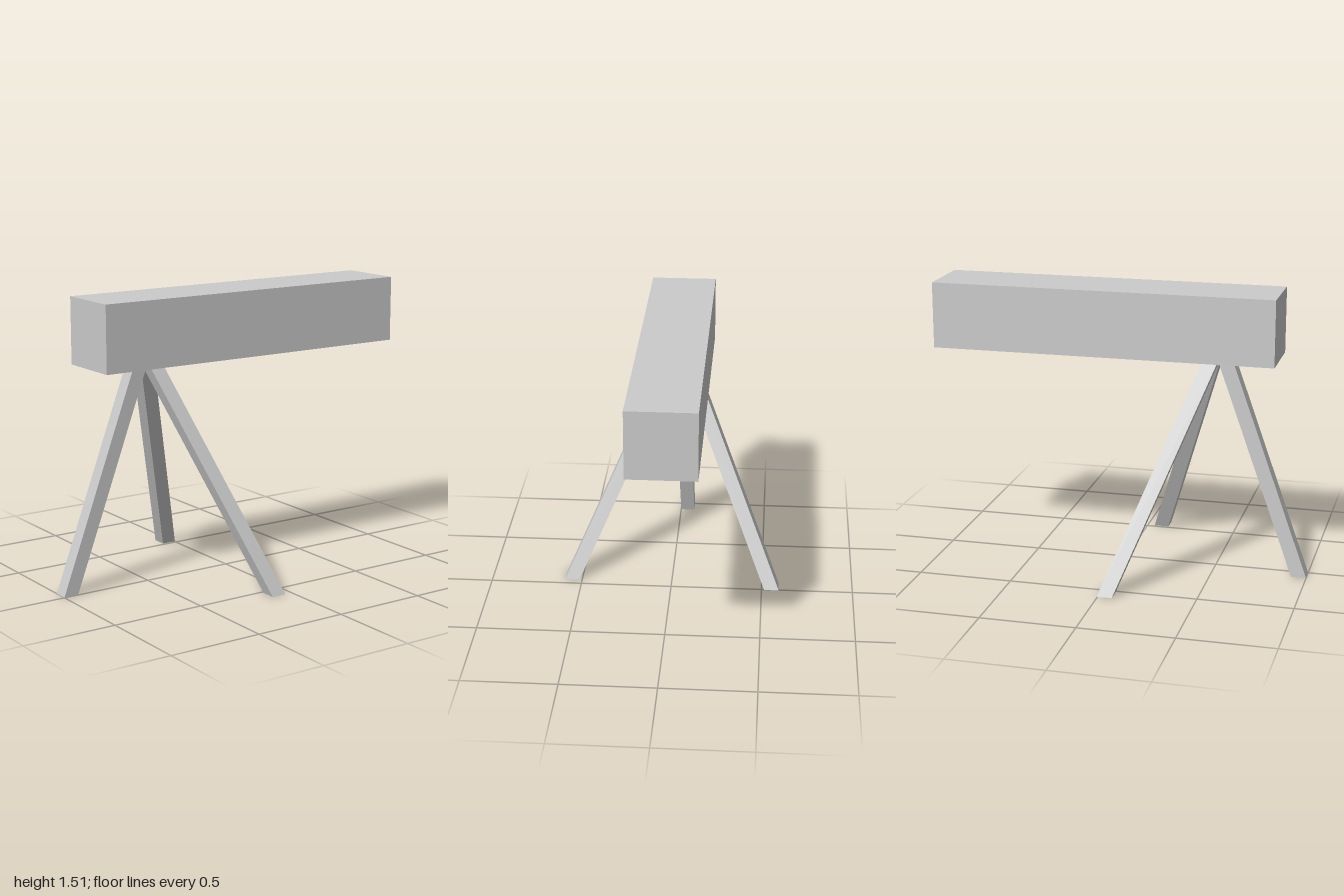
import * as THREE from 'three';

const material = new THREE.MeshStandardMaterial({ color: 0xcccccc, flatShading: true });
const BODY_BOTTOM = 1.16, BODY_TOP = 1.51, LEG_WIDTH = 0.08;

// Square post with level ends, slanted from its foot to its head (centres given as [x, z])
function slantedLeg(name, foot, head) {
  const geometry = new THREE.BoxGeometry(LEG_WIDTH, BODY_BOTTOM, LEG_WIDTH);
  geometry.translate(0, BODY_BOTTOM / 2, 0);
  const p = geometry.attributes.position;
  for (let i = 0; i < p.count; i++) {
    const [cx, cz] = p.getY(i) > BODY_BOTTOM / 2 ? head : foot;
    p.setX(i, p.getX(i) + cx);
    p.setZ(i, p.getZ(i) + cz);
  }
  geometry.computeVertexNormals();
  const leg = new THREE.Mesh(geometry, material);
  leg.name = name;
  return leg;
}

export function createModel() {
  const model = new THREE.Group();
  model.name = 'tripodWithBoxBody';

  // Long box body
  const body = new THREE.Mesh(
    new THREE.BoxGeometry(1.82, BODY_TOP - BODY_BOTTOM, 0.35), material);
  body.name = 'body';
  body.position.set(0.09, (BODY_TOP + BODY_BOTTOM) / 2, -0.02);
  model.add(body);

  // Three spread legs
  model.add(
    slantedLeg('rightLeg', [-0.96, -0.04], [-0.54, -0.02]),
    slantedLeg('frontLeg', [-0.08, 0.555], [-0.475, 0.025]),
    slantedLeg('backLeg', [-0.035, -0.555], [-0.475, -0.06]),
  );
  return model;
}
